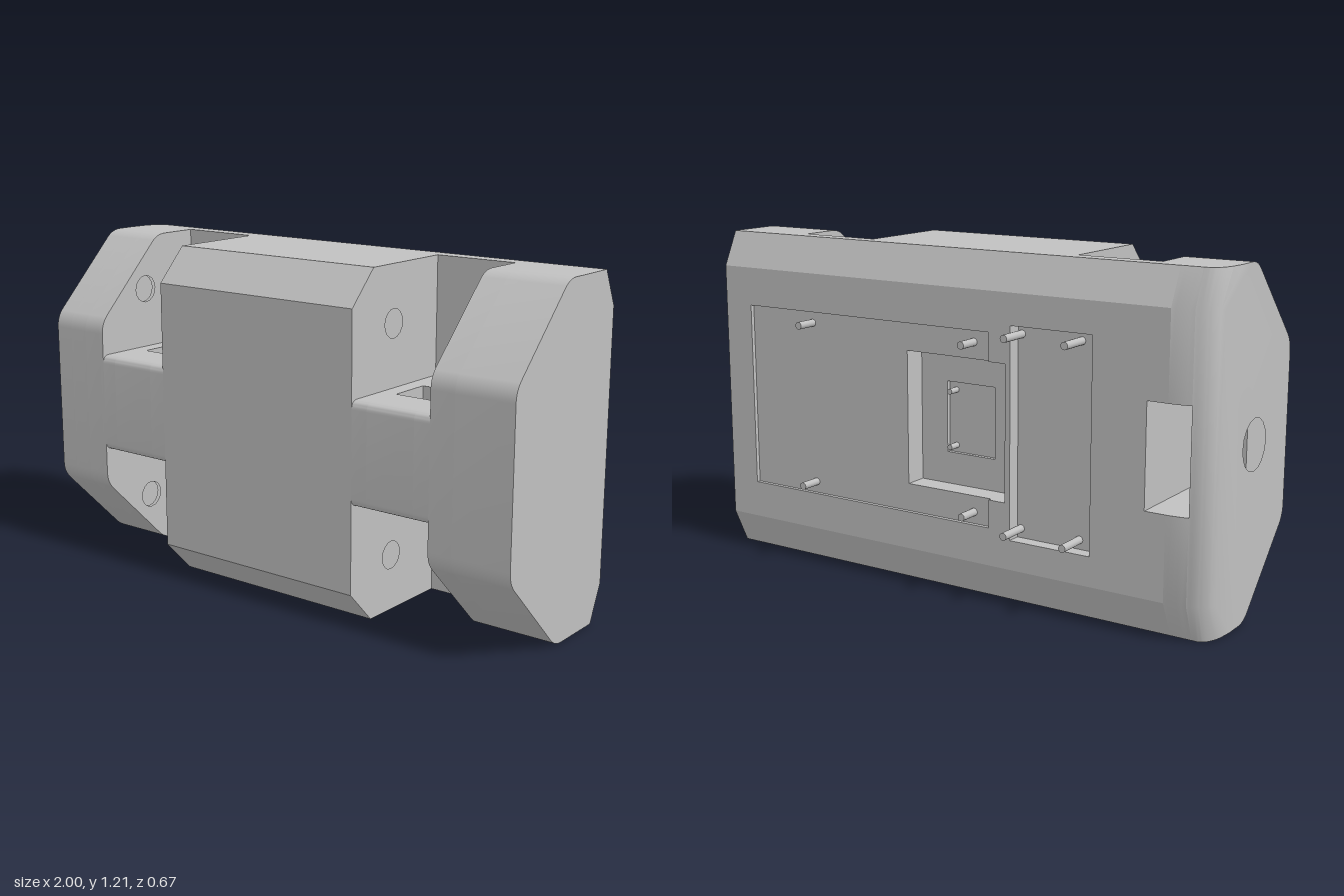
import * as THREE from 'three';
import { toCreasedNormals } from 'three/addons/utils/BufferGeometryUtils.js';

const H = 1.21, MID = H / 2;
const grey = new THREE.MeshStandardMaterial({ color: 0xc0c0c0 });
grey.name = 'plain grey';

// Closed outline from [u, v, optional corner radius] points
function outline(points, target = new THREE.Shape()) {
  const n = points.length;
  points.forEach((p, i) => {
    const at = new THREE.Vector2(p[0], p[1]), r = p[2] || 0;
    const toward = (q) => new THREE.Vector2(q[0], q[1]).sub(at).setLength(r).add(at);
    const a = r ? toward(points[(i + n - 1) % n]) : at;
    if (i === 0) target.moveTo(a.x, a.y); else target.lineTo(a.x, a.y);
    if (r) {
      const b = toward(points[(i + 1) % n]);
      target.quadraticCurveTo(at.x, at.y, b.x, b.y);
    }
  });
  target.closePath();
  return target;
}

const rect = (x0, x1, y0, y1) => [[x0, y0], [x1, y0], [x1, y1], [x0, y1]];

function add(group, geometry, name) {
  const mesh = new THREE.Mesh(geometry, grey);
  mesh.name = name;
  group.add(mesh);
  return mesh;
}

// Slab along x from a (z, y) profile, with optional round holes [z, y, radius]
function slab(group, name, profile, x0, x1, holes = [], steps = 1) {
  const shape = outline(profile.map(([z, y, r]) => [-z, y, r]));
  for (const [z, y, r] of holes) {
    shape.holes.push(new THREE.Path().absarc(-z, y, r, 0, Math.PI * 2, true));
  }
  const g = new THREE.ExtrudeGeometry(shape, { depth: x1 - x0, steps, bevelEnabled: false, curveSegments: 8 });
  g.rotateY(Math.PI / 2).translate(x0, 0, 0);
  // Round the back edges towards the right-hand end
  const p = g.attributes.position;
  const ease = (x, start) => {
    const t = Math.min(1, Math.max(0, (start - x) / (start + 1)));
    return 1 - Math.sqrt(1 - t * t);
  };
  for (let i = 0; i < p.count; i++) {
    const x = p.getX(i), z = p.getZ(i);
    if (z < -0.26) p.setZ(i, z + 0.07 * ease(x, -0.85));
    else if (z < -0.2) p.setZ(i, z + 0.13 * ease(x, -0.945));
  }
  g.computeVertexNormals();
  return add(group, toCreasedNormals(g, 0.6), name);
}

// Profile pieces, running from the bottom front up and round the back
const centreFront = [[0.215, 0], [0.33, 0.12], [0.33, 1.09], [0.215, H]];
const endFront = [[0.03, 0, 0.04], [0.33, 0.3, 0.04], [0.33, 0.91, 0.04], [0.03, H, 0.04]];
const topBack = [[-0.21, H], [-0.27, 1.085]];
const lowBack = [[-0.27, 0.13], [-0.21, 0]];
const cavity = [[0.17, 0.785], [0.17, 0.425]];
const seat = [[-0.155, 1.085], [-0.155, 0.13]];
const cavityAt = (z) => [[z, 0.785], ...cavity, [z, 0.425]];
const axleHoles = [[0.1, 1.01, 0.05], [0.1, H - 1.01, 0.05]];

export function createModel() {
  const model = new THREE.Group();
  model.name = 'housing';

  // Middle block
  const centre = new THREE.Group();
  centre.name = 'centreBlock';
  model.add(centre);
  const centreProfile = [...centreFront, ...topBack, ...seat, ...lowBack];
  slab(centre, 'centreRightCheek', centreProfile, -0.455, -0.38, axleHoles);
  slab(centre, 'centreCore', centreProfile, -0.38, 0.315);
  slab(centre, 'centreLeftCheek', centreProfile, 0.315, 0.39, axleHoles);

  // End blocks; the right one holds a cavity with a round side opening
  const endProfile = [...endFront, ...topBack, ...seat, ...lowBack];
  const ends = new THREE.Group();
  ends.name = 'endBlocks';
  model.add(ends);
  slab(ends, 'leftEndCheek', endProfile, 0.695, 0.785, axleHoles);
  slab(ends, 'leftEnd', endProfile, 0.785, 1);
  slab(ends, 'rightEndWall', [...endFront, ...topBack, ...lowBack], -1, -0.927, [[0.06, MID, 0.09]], 12);
  slab(ends, 'rightEndShell', [...endFront, ...topBack, ...cavityAt(-0.27), ...lowBack], -0.927, -0.85, [], 5);
  slab(ends, 'rightEndInner',
    [...endFront, ...topBack, seat[0], ...cavityAt(-0.155), seat[1], ...lowBack], -0.85, -0.775, axleHoles);
  slab(ends, 'rightEndCheek', endProfile, -0.775, -0.76, axleHoles);

  // Wheel bays: a bridge between upper and lower pockets, with slotted floors
  const plainBridge = [[-0.155, 0.43], [0.33, 0.43, 0.03], [0.33, 0.79, 0.03], [-0.155, 0.79]];
  const slottedBridge = [
    [-0.155, 0.43], [0.01, 0.43], [0.01, 0.56], [0.165, 0.56], [0.165, 0.43], [0.33, 0.43, 0.03],
    [0.33, 0.79, 0.03], [0.165, 0.79], [0.165, 0.65], [0.01, 0.65], [0.01, 0.79], [-0.155, 0.79],
  ];
  const topStrip = [[-0.155, 1.085], [-0.155, H], ...topBack];
  const lowStrip = [[-0.155, 0.13], ...lowBack, [-0.155, 0]];
  const bays = [
    { name: 'rightBay', x: [-0.76, -0.70, -0.52, -0.455], pin: [-0.67, -0.52], flange: -0.667 },
    { name: 'leftBay', x: [0.39, 0.45, 0.635, 0.695], pin: [0.45, 0.61], flange: 0.607 },
  ];
  for (const { name, x, pin, flange } of bays) {
    const bay = new THREE.Group();
    bay.name = name;
    model.add(bay);
    slab(bay, 'bridgeSide', plainBridge, x[0], x[1]);
    slab(bay, 'bridgeSlotted', slottedBridge, x[1], x[2]);
    slab(bay, 'bridgeSide', plainBridge, x[2], x[3]);
    slab(bay, 'topBackStrip', topStrip, x[0], x[3]);
    slab(bay, 'lowBackStrip', lowStrip, x[0], x[3]);
    for (const y of [0.72, H - 0.72]) {
      const roller = new THREE.CylinderGeometry(0.04, 0.04, pin[1] - pin[0], 24).rotateZ(Math.PI / 2);
      add(bay, roller, 'roller').position.set((pin[0] + pin[1]) / 2, y, 0.085);
      const rim = new THREE.CylinderGeometry(0.046, 0.046, 0.012, 24).rotateZ(Math.PI / 2);
      add(bay, rim, 'rollerRim').position.set(flange, y, 0.085);
    }
  }

  // Back panel in layers, each with its own recess openings
  const panelEdge = [[-0.85, 0.13], [1, 0.13], [1, 1.085], [-0.85, 1.085],
    [-0.85, 0.785], [-0.775, 0.785], [-0.775, 0.425], [-0.85, 0.425]];
  const boardRecess = [[0.88, 0.265], [0.88, 0.945], [-0.18, 0.945], [-0.18, 0.845],
    [-0.245, 0.845], [-0.245, 0.365], [-0.18, 0.365], [-0.18, 0.265]];
  const tallRecess = rect(-0.576, -0.265, 0.235, 0.975);
  const deepRecess = rect(-0.245, 0.17, 0.365, 0.845);
  const innerRecess = rect(-0.14, 0.06, 0.48, 0.735);
  const layers = [
    [-0.27, -0.255, [boardRecess, tallRecess]],
    [-0.255, -0.22, [deepRecess, tallRecess]],
    [-0.22, -0.17, [deepRecess]],
    [-0.17, -0.155, [innerRecess]],
  ];
  const panel = new THREE.Group();
  panel.name = 'backPanel';
  model.add(panel);
  for (const [z0, z1, holes] of layers) {
    const shape = outline(panelEdge);
    shape.holes = holes.map((h) => outline(h, new THREE.Path()));
    const g = new THREE.ExtrudeGeometry(shape, { depth: z1 - z0, bevelEnabled: false });
    add(panel, g.translate(0, 0, z0), 'panelLayer');
  }

  // Mounting pins: [x, height from mid, radius, back z, front z]
  const pins = [
    [-0.51, 0.337, 0.0135, -0.335, -0.21], [-0.28, 0.337, 0.0135, -0.335, -0.21],
    [-0.11, 0.298, 0.0135, -0.335, -0.25], [0.595, 0.298, 0.0135, -0.335, -0.25],
    [0.03, 0.1, 0.01, -0.2, -0.15],
  ];
  for (const [x, dy, r, z0, z1] of pins) {
    for (const side of [-1, 1]) {
      const g = new THREE.CylinderGeometry(r, r, z1 - z0, 16).rotateX(Math.PI / 2);
      add(panel, g, 'mountingPin').position.set(x, MID + side * dy, (z0 + z1) / 2);
    }
  }
  return model;
}
